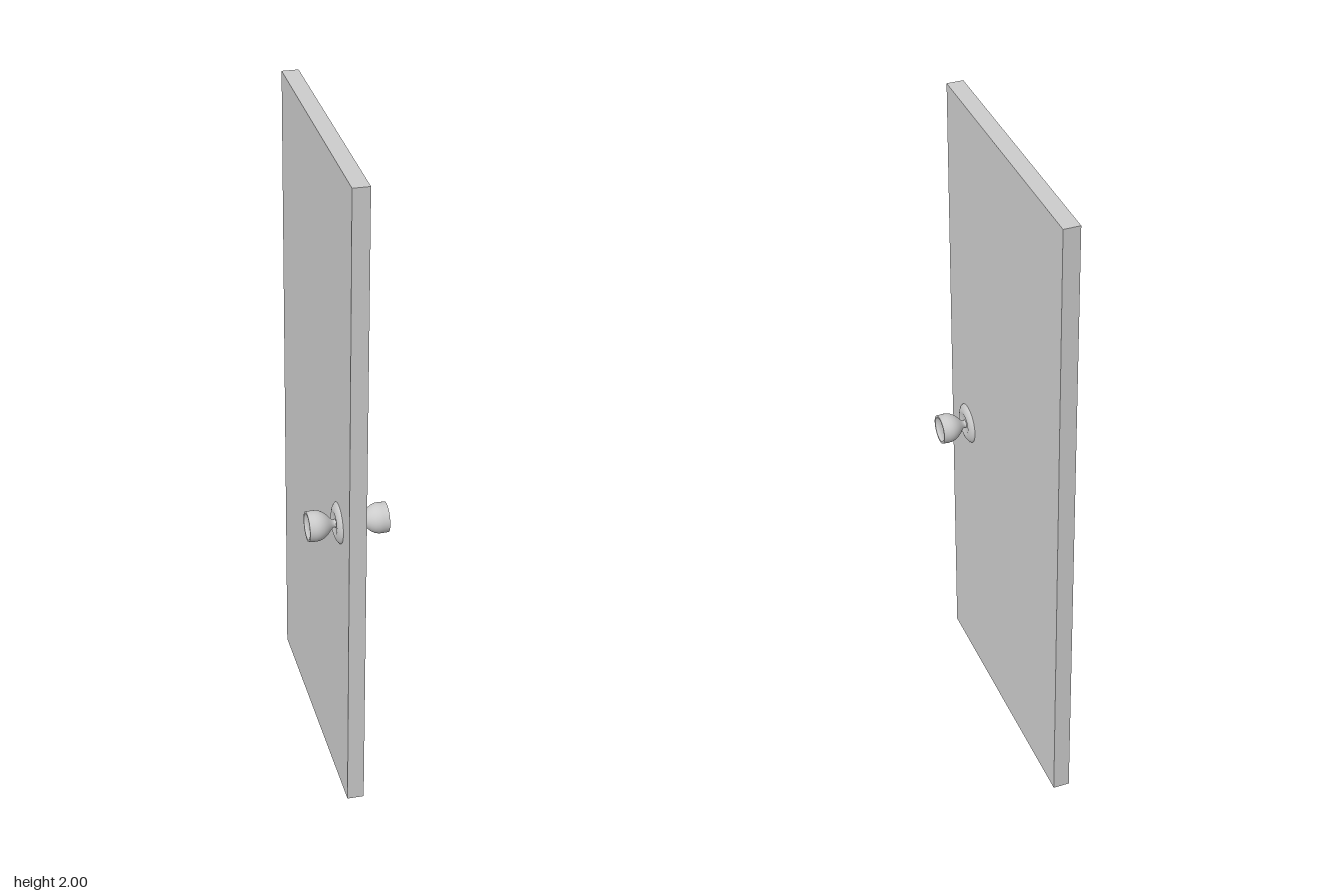
import * as THREE from 'three';

const metalGrey = new THREE.MeshStandardMaterial({ color: 0xcccccc });
metalGrey.name = 'plainGrey';

// Turned part: points are [radius, distance from the door's middle plane]
function turned(name, points) {
  const profile = points.map(([r, h]) => new THREE.Vector2(r, h));
  const mesh = new THREE.Mesh(new THREE.LatheGeometry(profile, 40), metalGrey);
  mesh.name = name;
  return mesh;
}

// Rosette, flared knob and dished end cap along +y
function createKnob(name) {
  const knob = new THREE.Group();
  knob.name = name;
  knob.add(
    turned('rosette', [
      [0.061, 0.02], [0.061, 0.026], [0.058, 0.03], [0.05, 0.035],
      [0.041, 0.038], [0.034, 0.038], [0.026, 0.035], [0.01, 0.034],
    ]),
    turned('knobBody', [
      [0.014, 0.032], [0.011, 0.037], [0.012, 0.042], [0.018, 0.049], [0.027, 0.057],
      [0.035, 0.066], [0.041, 0.076], [0.0445, 0.087], [0.045, 0.098], [0.044, 0.117],
    ]),
    turned('knobRim', [[0.044, 0.117], [0.038, 0.117]]),
    turned('knobDish', [[0.038, 0.117], [0.034, 0.112], [0.024, 0.108], [0.012, 0.106], [0, 0.106]]),
  );
  return knob;
}

export function createModel() {
  const model = new THREE.Group();
  model.name = 'door';

  // Door slab
  const slab = new THREE.Mesh(new THREE.BoxGeometry(0.05, 2, 0.842), metalGrey);
  slab.name = 'doorSlab';
  slab.position.y = 1;

  // One knob on each face
  for (const side of [1, -1]) {
    const knob = createKnob(side > 0 ? 'leftKnob' : 'rightKnob');
    knob.rotation.z = -side * Math.PI / 2;
    knob.position.set(0, 0.905, 0.29);
    model.add(knob);
  }
  model.add(slab);

  // The door stands very slightly ajar
  model.rotation.y = -0.0087;
  model.position.x = 0.002;
  return model;
}
